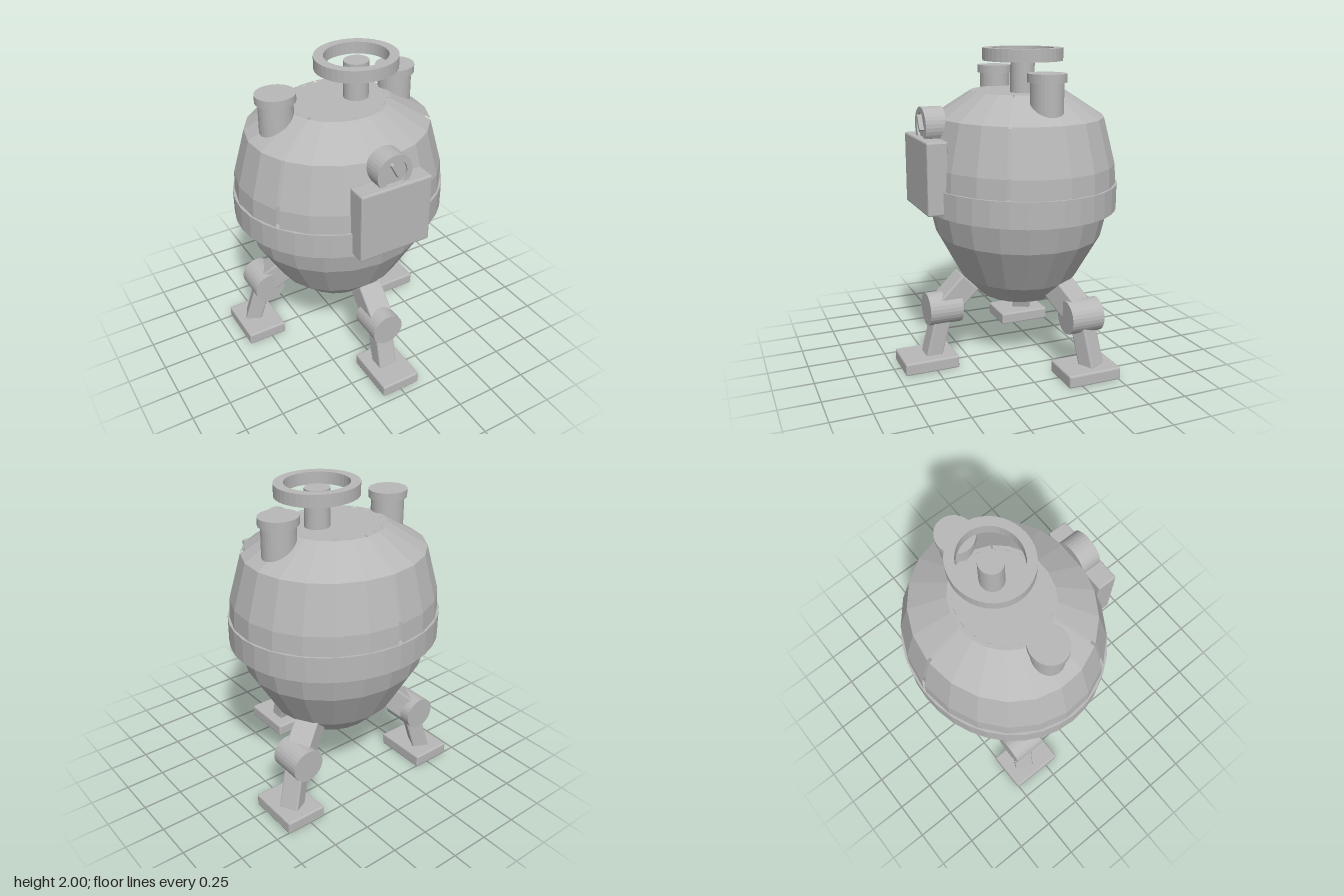
import * as THREE from 'three';
import { RoundedBoxGeometry } from 'three/addons/geometries/RoundedBoxGeometry.js';

const SQUASH = 0.905; // the model is slightly narrower front to back
const BODY_Z = -0.098;

export function createModel() {
  const model = new THREE.Group();
  model.name = 'tankOnLegs';
  const grey = new THREE.MeshStandardMaterial({ color: 0xb8b8b8, flatShading: true });
  grey.name = 'plainGrey';

  const add = (parent, name, geometry, x = 0, y = 0, z = 0) => {
    const mesh = new THREE.Mesh(geometry, grey);
    mesh.name = name;
    mesh.position.set(x, y, z);
    parent.add(mesh);
    return mesh;
  };
  const lathe = (points, segments, start, length) => new THREE.LatheGeometry(
    points.map(([r, y]) => new THREE.Vector2(r, y)), segments, start, length);
  const box = (w, h, d) => new RoundedBoxGeometry(w, h, d, 1, 0.01);

  // Body: faceted bowl, belt, inner core and three dome panels with seams
  const body = new THREE.Group();
  body.name = 'body';
  body.position.z = BODY_Z;
  body.scale.z = SQUASH;
  model.add(body);
  add(body, 'lowerBowl', lathe(
    [[0, 0.435], [0.27, 0.435], [0.41, 0.565], [0.575, 0.84], [0.625, 1.04]], 20));
  add(body, 'belt', lathe(
    [[0.6, 1.02], [0.675, 1.02], [0.675, 1.18], [0.61, 1.18]], 36));
  const dome = [[0.665, 1.16], [0.657, 1.3], [0.578, 1.585], [0.325, 1.735], [0.3, 1.735]];
  add(body, 'domeCore', lathe(
    [[0.64, 1.14], [0.632, 1.3], [0.555, 1.57], [0.3, 1.72], [0.3, 1.735], [0, 1.735]], 21));
  const gap = 0.036;
  for (let i = 0; i < 3; i++) {
    const start = Math.PI / 3 + i * Math.PI * 2 / 3 + gap / 2;
    add(body, 'domePanel', lathe(dome, 7, start, Math.PI * 2 / 3 - gap));
  }

  // Two capped vent pipes
  for (const side of [-1, 1]) {
    const vent = new THREE.Group();
    vent.name = side > 0 ? 'leftVent' : 'rightVent';
    vent.position.set(side * 0.405, 0, -0.105);
    vent.scale.z = 0.93;
    model.add(vent);
    add(vent, 'ventPipe', new THREE.CylinderGeometry(0.105, 0.105, 0.32, 32), 0, 1.68);
    add(vent, 'ventCap', new THREE.CylinderGeometry(0.122, 0.122, 0.05, 32), 0, 1.842);
  }

  // Valve wheel: open ring around a stem
  const valve = new THREE.Group();
  valve.name = 'valve';
  valve.position.set(0.115, 0, -0.078);
  valve.scale.z = 0.935;
  model.add(valve);
  add(valve, 'wheelRim', lathe(
    [[0.197, 1.925], [0.257, 1.925], [0.257, 2], [0.197, 2], [0.197, 1.925]], 40));
  add(valve, 'valveStem', new THREE.CylinderGeometry(0.078, 0.078, 0.27, 32), 0, 1.83);

  // Control box on the front
  add(model, 'controlBox', box(0.47, 0.44, 0.13), 0, 1.26, 0.505);

  // Round gauge with recessed dial and needle
  const gauge = new THREE.Group();
  gauge.name = 'gauge';
  gauge.position.set(0, 1.545, 0);
  gauge.rotation.x = Math.PI / 2; // local y points to the front
  model.add(gauge);
  add(gauge, 'gaugeRim', lathe(
    [[0.115, 0.465], [0.115, 0.535], [0.08, 0.535], [0.08, 0.52]], 32));
  add(gauge, 'gaugeDial', new THREE.CylinderGeometry(0.08, 0.08, 0.01, 32), 0, 0.517);
  add(gauge, 'gaugeBack', new THREE.CylinderGeometry(0.115, 0.115, 0.06, 32), 0, 0.437);
  const needle = add(model, 'gaugeNeedle', new THREE.BoxGeometry(0.02, 0.1, 0.03), 0, 1.565, 0.535);
  needle.rotation.z = 0.5;

  // Square beam between two points, with its width turned sideways to the leg
  const beam = (parent, name, from, to, width, depth, radial) => {
    const a = new THREE.Vector3(...from), b = new THREE.Vector3(...to);
    const along = b.clone().sub(a);
    const length = along.length();
    along.normalize();
    const across = new THREE.Vector3(0, 1, 0).cross(radial);
    across.addScaledVector(along, -across.dot(along)).normalize();
    const out = new THREE.Vector3().crossVectors(across, along);
    const mesh = add(parent, name, box(width, length, depth));
    mesh.quaternion.setFromRotationMatrix(new THREE.Matrix4().makeBasis(across, along, out));
    mesh.position.copy(a).add(b).multiplyScalar(0.5);
  };

  // Three legs: hip end, knee, ankle, foot centre
  const legs = [
    { name: 'frontLeg', hip: [0, 0.545, 0.25], knee: [0, 0.377, 0.42], ankle: [0, 0.06, 0.5], foot: [0, 0.53] },
  ];
  for (const s of [-1, 1]) {
    legs.push({
      name: s > 0 ? 'backLeftLeg' : 'backRightLeg',
      hip: [s * 0.29, 0.545, -0.24], knee: [s * 0.463, 0.377, -0.332],
      ankle: [s * 0.545, 0.06, -0.37], foot: [s * 0.533, -0.335],
    });
  }
  for (const { name, hip, knee, ankle, foot } of legs) {
    const leg = new THREE.Group();
    leg.name = name;
    model.add(leg);
    const radial = new THREE.Vector3(knee[0], 0, knee[2] - BODY_Z).normalize();
    beam(leg, 'upperLeg', knee, hip, 0.155, 0.15, radial);
    beam(leg, 'lowerLeg', ankle, knee, 0.125, 0.105, radial);
    const joint = add(leg, 'knee', new THREE.CylinderGeometry(0.105, 0.105, 0.215, 28), ...knee);
    joint.rotation.x = Math.PI / 2;
    add(leg, 'foot', box(0.265, 0.08, 0.35), foot[0], 0.042, foot[1]);
  }
  return model;
}
